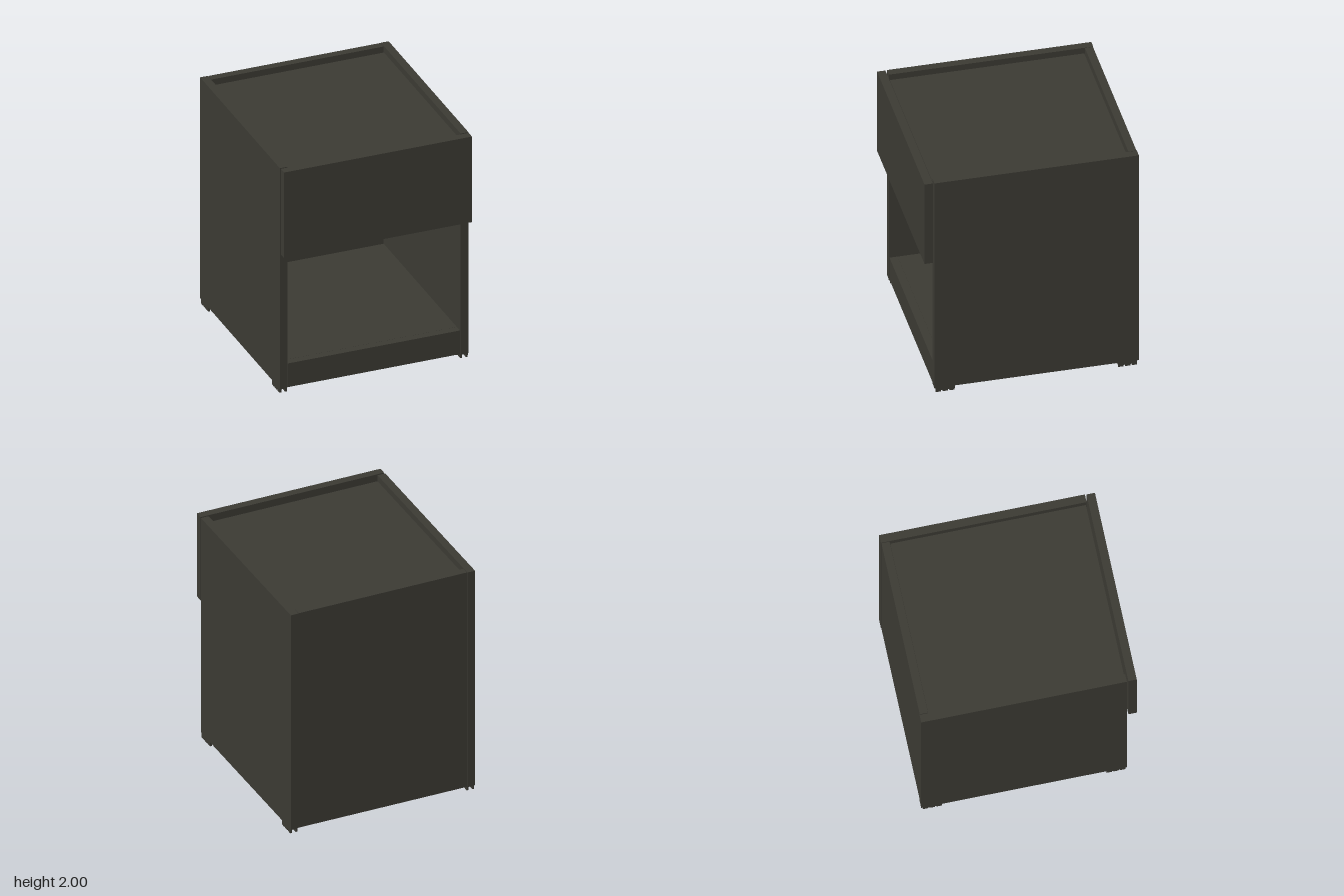
import * as THREE from 'three';

const darkBoard = new THREE.MeshStandardMaterial({ color: 0x3b3a33 });
darkBoard.name = 'dark board';

// Box given by its extents on each axis
function panel(name, [x0, x1], [y0, y1], [z0, z1]) {
  const mesh = new THREE.Mesh(new THREE.BoxGeometry(x1 - x0, y1 - y0, z1 - z0), darkBoard);
  mesh.position.set((x0 + x1) / 2, (y0 + y1) / 2, (z0 + z1) / 2);
  mesh.name = name;
  return mesh;
}

// Clip-like foot: thin plate, two rails and three studs under each rail
function makeFoot(name) {
  const foot = new THREE.Group();
  foot.name = name;
  foot.add(panel('footPlate', [-0.032, 0.032], [0.028, 0.04], [-0.077, 0.077]));
  for (const x of [-0.024, 0.024]) {
    foot.add(panel('footRail', [x - 0.008, x + 0.008], [0.014, 0.028], [-0.077, 0.077]));
    for (const z of [-0.055, 0, 0.055]) {
      foot.add(panel('footStud', [x - 0.008, x + 0.008], [0, 0.014], [z - 0.021, z + 0.021]));
    }
  }
  return foot;
}

export function createModel() {
  const cabinet = new THREE.Group();
  cabinet.name = 'bedsideCabinet';
  const inner = [-0.73, 0.73];

  // Side panels with a foot near each end
  for (const [side, s] of [['left', 1], ['right', -1]]) {
    const xs = s > 0 ? [0.734, 0.8] : [-0.8, -0.734];
    cabinet.add(panel(side + 'SidePanel', xs, [0.04, 2], [-0.865, 0.785]));
    for (const [end, z] of [['Front', 0.698], ['Back', -0.775]]) {
      const foot = makeFoot(side + end + 'Foot');
      foot.position.set(s * 0.767, 0, z);
      cabinet.add(foot);
    }
  }

  // Boards between the sides
  cabinet.add(panel('backPanel', inner, [0.04, 2], [-0.862, -0.797]));
  cabinet.add(panel('topPanel', inner, [1.885, 1.95], [-0.791, 0.778]));
  cabinet.add(panel('bottomShelf', inner, [0.185, 0.25], [-0.795, 0.715]));
  cabinet.add(panel('kickBoard', inner, [0.04, 0.25], [0.716, 0.781]));

  // Front panel, standing slightly clear of the carcass
  cabinet.add(panel('drawerFront', [-0.797, 0.797], [1.24, 2], [0.798, 0.865]));

  return cabinet;
}
